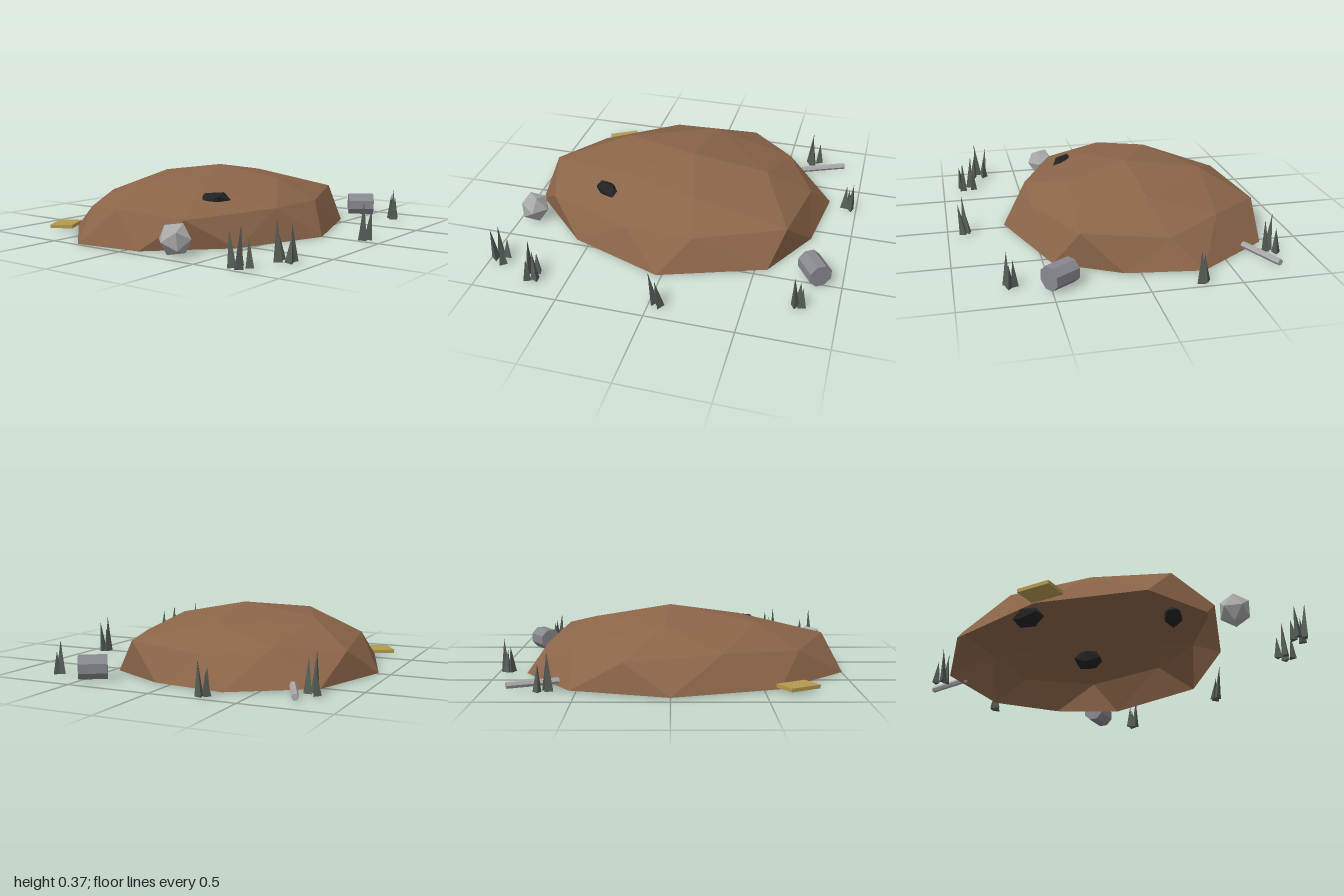
import * as THREE from 'three';

const colour = (name, hex, side = THREE.FrontSide) => {
  const m = new THREE.MeshStandardMaterial({ color: hex, flatShading: true, side });
  m.name = name;
  return m;
};

// Domed shell, open underneath: apex, 5 shoulders, 10 flank points, 10 rim points
function moundGeometry() {
  const apex = [0, 0.37, -0.09];
  const shoulder = [[0.09, 0.3, 0.28], [0.45, 0.3, -0.11], [0.03, 0.305, -0.55], [-0.49, 0.3, -0.33], [-0.42, 0.29, 0.1]];
  const flank = [
    [0.14, 0.18, 0.51], [0.65, 0.2, 0.31], [0.72, 0.16, -0.18], [0.54, 0.2, -0.5], [0.25, 0.16, -0.82],
    [-0.28, 0.19, -0.74], [-0.72, 0.16, -0.48], [-0.91, 0.2, -0.1], [-0.79, 0.16, 0.27], [-0.26, 0.18, 0.5],
  ];
  const rim = [
    [0.57, 0.45], [0.77, 0.09], [0.83, -0.34], [0.54, -0.77], [0, -0.93],
    [-0.59, -0.74], [-1, -0.31], [-0.95, 0.09], [-0.58, 0.46], [-0.03, 0.66],
  ].map(([x, z]) => [x, 0, z]);
  const points = [];
  const tri = (a, b, c) => points.push(...a, ...b, ...c);
  for (let k = 0; k < 5; k++) {
    const a = shoulder[k], b = shoulder[(k + 1) % 5];
    const f0 = flank[2 * k], f1 = flank[2 * k + 1], f2 = flank[(2 * k + 2) % 10];
    tri(apex, a, b);
    tri(a, f0, f1);
    tri(a, f1, b);
    tri(b, f1, f2);
  }
  for (let j = 0; j < 10; j++) {
    tri(flank[j], rim[j], flank[(j + 1) % 10]);
    tri(flank[j], rim[(j + 9) % 10], rim[j]);
  }
  const g = new THREE.BufferGeometry();
  g.setAttribute('position', new THREE.Float32BufferAttribute(points, 3));
  g.computeVertexNormals();
  return g;
}

export function createModel() {
  const model = new THREE.Group();
  const earth = colour('earth brown', 0x8b6549, THREE.DoubleSide);
  const coal = colour('coal black', 0x222222);
  const stone = colour('light stone', 0xaaaaaa);
  const metal = colour('blue grey', 0x888890);
  const brass = colour('dull gold', 0xb39a50);
  const grassGrey = colour('grass grey green', 0x565d56);

  const add = (name, geometry, material, position, rotation = [0, 0, 0], scale = [1, 1, 1], parent = model) => {
    const mesh = new THREE.Mesh(geometry, material);
    mesh.name = name;
    mesh.position.set(...position);
    mesh.rotation.set(...rotation);
    mesh.scale.set(...scale);
    parent.add(mesh);
    return mesh;
  };

  add('mound', moundGeometry(), earth, [0, 0, 0]);

  // Dark lumps embedded in the mound
  const lump = new THREE.IcosahedronGeometry(0.1, 0);
  add('darkLump', lump, coal, [-0.46, 0.22, 0.22], [0, -0.6, 0], [1.05, 0.55, 0.6]);
  add('darkLump', lump, coal, [0.3, 0.2, 0.07], [0, 0.9, 0], [1, 0.7, 0.75]);
  add('darkLump', lump, coal, [-0.06, 0.2, -0.53], [0, 0.4, 0], [1.05, 0.6, 0.75]);

  // Loose debris around the mound
  add('paleRock', new THREE.IcosahedronGeometry(0.093, 0), stone, [-0.91, 0.085, 0.31], [0.5, 0.4, 0.2]);
  add('drum', new THREE.CylinderGeometry(0.07, 0.07, 0.16, 8).rotateY(Math.PI / 8).rotateX(Math.PI / 2),
    metal, [0.835, 0.068, 0.45], [0, 0.58, 0]);
  add('rod', new THREE.CylinderGeometry(0.019, 0.019, 0.29, 6).rotateZ(Math.PI / 2),
    stone, [0.74, 0.025, -0.7], [0, 0.41, 0]);
  add('plate', new THREE.BoxGeometry(0.19, 0.02, 0.135), brass, [-0.68, 0.02, -0.75], [0, 0.52, 0]);

  // Grass tufts: [x, z] foot of every blade
  const tufts = [
    [[0.64, -0.78], [0.7, -0.805], [0.665, -0.75]],
    [[0.925, -0.295], [0.965, -0.28], [0.95, -0.31]],
    [[-0.96, 0.71], [-0.91, 0.715], [-0.97, 0.75], [-0.91, 0.785]],
    [[-0.68, 0.805], [-0.73, 0.82], [-0.715, 0.88], [-0.67, 0.87]],
    [[0.025, 0.89], [0.05, 0.88], [0.065, 0.905]],
    [[0.79, 0.69], [0.77, 0.72], [0.805, 0.715]],
  ];
  const blade = new THREE.ConeGeometry(0.027, 1, 3).translate(0, 0.5, 0);
  tufts.forEach((feet, t) => {
    const tuft = new THREE.Group();
    tuft.name = 'grassTuft';
    model.add(tuft);
    feet.forEach(([x, z], i) => {
      const height = [0.22, 0.15, 0.19, 0.13][(i + t) % 4];
      const lean = t === 4 ? -0.15 : 0.05 * (i % 2 ? 1 : -1);
      add('grassBlade', blade, grassGrey, [x, 0, z], [0.04 * ((i % 3) - 1), i * 1.3 * (t !== 4) + t, lean], [1, height, 1], tuft);
    });
  });
  return model;
}
